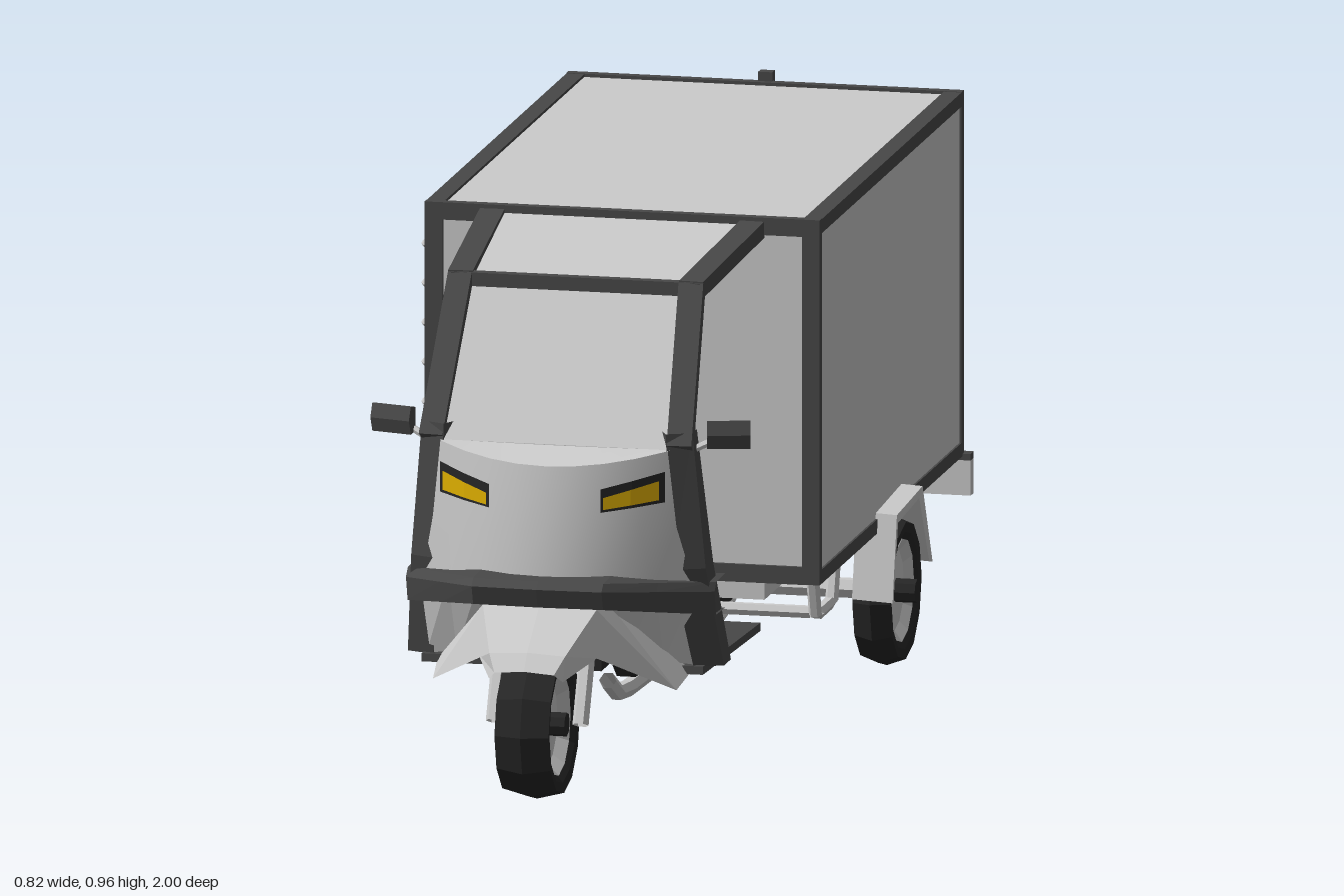
import * as THREE from 'three';

const mat = (color) => new THREE.MeshStandardMaterial({ color, flatShading: true, side: THREE.DoubleSide });
const V = (p) => new THREE.Vector3(...p);

export function createModel() {
  const root = new THREE.Group();
  const grey = mat(0xcccccc), dark = mat(0x484848), black = mat(0x262626), yellow = mat(0xe0b000), red = mat(0x701018);
  const smooth = new THREE.MeshStandardMaterial({ color: 0xcccccc, side: THREE.DoubleSide });

  const add = (name, geo, m, pos = [0, 0, 0], parent = root) => {
    const mesh = new THREE.Mesh(geo, m);
    mesh.name = name;
    mesh.position.set(...pos);
    parent.add(mesh);
    return mesh;
  };
  const box = (name, size, pos, m = grey) => add(name, new THREE.BoxGeometry(...size), m, pos);
  // Square bar between two points
  const beam = (name, a, b, w, h, m = dark) => {
    const A = V(a), B = V(b);
    const mesh = add(name, new THREE.BoxGeometry(w, h, A.distanceTo(B)), m);
    mesh.position.copy(A).add(B).multiplyScalar(0.5);
    mesh.lookAt(B);
    return mesh;
  };
  // Bent pipe through points
  const pipe = (name, pts, r, m = grey) => {
    const path = new THREE.CurvePath();
    for (let i = 1; i < pts.length; i++) path.add(new THREE.LineCurve3(V(pts[i - 1]), V(pts[i])));
    return add(name, new THREE.TubeGeometry(path, (pts.length - 1) * 4, r, 6), m);
  };
  // Surface through rows of points
  const sheet = (name, rows, m = grey) => {
    const n = rows[0].length, idx = [];
    for (let i = 0; i < rows.length - 1; i++)
      for (let j = 0; j < n - 1; j++) {
        const a = i * n + j, b = a + n;
        idx.push(a, b, a + 1, b, b + 1, a + 1);
      }
    const g = new THREE.BufferGeometry();
    g.setAttribute('position', new THREE.Float32BufferAttribute(rows.flat(2), 3));
    g.setIndex(idx);
    g.computeVertexNormals();
    return add(name, g, m);
  };
  // Side outline given as [z, y], extruded across x around centre x
  const slab = (name, pts, width, x, m = grey) => {
    const g = new THREE.ExtrudeGeometry(new THREE.Shape(pts.map(([z, y]) => new THREE.Vector2(-z, y))), { depth: width, bevelEnabled: false });
    g.translate(0, 0, -width / 2).rotateY(Math.PI / 2);
    return add(name, g, m, [x, 0, 0]);
  };

  // Cargo box: panels inside a dark edge frame
  const X = 0.365, y0 = 0.267, y1 = 0.938, zf = 0.18, zb = -0.97;
  const ym = (y0 + y1) / 2, zm = (zf + zb) / 2, L = zf - zb, H = y1 - y0;
  box('cargoBody', [2 * X - 0.008, H - 0.01, L - 0.012], [0, ym, zm]);
  box('cargoFloor', [2 * X - 0.03, 0.012, L - 0.03], [0, y0 + 0.002, zm], dark);
  for (const s of [-1, 1]) {
    for (const z of [zf - 0.008, zb + 0.008])
      box('cargoPost', [0.033, H, 0.018], [s * (X - 0.0165), ym, z], dark);
    for (const y of [y0 + 0.013, y1 - 0.013])
      box('cargoSideRail', [0.033, 0.026, L], [s * (X - 0.0165), y, zm], dark);
  }
  for (const z of [zf - 0.008, zb + 0.008])
    for (const y of [y0 + 0.016, y1 - 0.015])
      box('cargoCrossRail', [2 * X, 0.032, 0.018], [0, y, z], dark);

  // Rear doors, bumper and plate
  box('doorPost', [0.026, 0.7, 0.02], [0, 0.606, -0.973], dark);
  for (const s of [-1, 1])
    pipe('doorHandle', [[s * 0.045, 0.6, -0.97], [s * 0.045, 0.605, -0.99], [s * 0.045, 0.685, -0.99], [s * 0.045, 0.69, -0.97]], 0.007);
  box('rearBumper', [0.76, 0.07, 0.022], [0, 0.23, -0.972]);
  box('rearBumperCap', [0.76, 0.012, 0.026], [0, 0.266, -0.972], dark);
  box('plateFrame', [0.18, 0.07, 0.012], [0, 0.178, -0.99], black);
  box('plate', [0.16, 0.05, 0.006], [0, 0.178, -0.997]);

  // Ladder rungs on the right side
  for (let i = 0; i < 8; i++) {
    const y = 0.34 + i * 0.0727;
    pipe('ladderRung', [[-X, y, 0.13], [-0.38, y, 0.13], [-0.38, y, 0.01], [-X, y, 0.01]], 0.005);
  }

  // Cab roof, windscreen and cowl
  sheet('cabRoof', [
    [[-0.25, 0.925, 0.18], [0.25, 0.925, 0.18]],
    [[-0.21, 0.885, 0.545], [0.21, 0.885, 0.545]]]);
  sheet('windscreen', [
    [[-0.21, 0.88, 0.548], [0.21, 0.88, 0.548]],
    [[-0.215, 0.62, 0.715], [0.215, 0.62, 0.715]]]);
  const arc = (y, hw, zc, zs, drop = 0) => Array.from({ length: 9 }, (_, i) => {
    const t = i / 4 - 1;
    return [t * hw, y + drop * t * t, zc - (zc - zs) * t * t];
  });
  sheet('cowl', [arc(0.62, 0.215, 0.72, 0.712), arc(0.598, 0.21, 0.8, 0.725, 0.022)], smooth);
  sheet('frontApron', [arc(0.598, 0.21, 0.8, 0.725, 0.022), arc(0.48, 0.225, 0.815, 0.72), arc(0.37, 0.25, 0.82, 0.69)], smooth);
  sheet('lowerApron', [arc(0.37, 0.255, 0.815, 0.69), arc(0.24, 0.255, 0.72, 0.64, -0.03)]);
  // Bumper band: outward bulge closed above and below
  const bandX = [-0.285, -0.2, -0.12, 0, 0.12, 0.2, 0.285];
  const band = (yMid, ySide, grow) => bandX.map((x) => {
    const t = Math.max(0, (Math.abs(x) - 0.12) / 0.165);
    return [x, yMid + (ySide - yMid) * t, 0.845 + grow - 0.19 * t - 0.3 * Math.min(x * x, 0.0144)];
  });
  sheet('bumperBand', [band(0.4, 0.372, -0.06), band(0.398, 0.37, 0.01), band(0.385, 0.355, 0.025), band(0.35, 0.31, 0.012), band(0.348, 0.308, -0.06)], dark);

  for (const s of [-1, 1]) {
    // Cab frame
    beam('roofBeam', [s * 0.24, 0.917, 0.18], [s * 0.213, 0.882, 0.55], 0.045, 0.03);
    beam('windscreenPillar', [s * 0.212, 0.885, 0.54], [s * 0.228, 0.62, 0.705], 0.045, 0.035);
    sheet('pillarLeg', [
      [[0.19, 0.65, 0.69], [0.205, 0.65, 0.72], [0.25, 0.65, 0.7], [0.25, 0.65, 0.665]],
      [[0.21, 0.4, 0.66], [0.215, 0.4, 0.715], [0.272, 0.4, 0.69], [0.272, 0.4, 0.63]],
      [[0.235, 0.21, 0.58], [0.24, 0.21, 0.65], [0.292, 0.21, 0.63], [0.292, 0.21, 0.575]]
    ].map((r) => [...r, r[0]].map(([x, y, z]) => [s * x, y, z])), dark);

    // Headlamp with dark surround, following the apron
    const lamp = (name, xa, xb, ya, yb, out, m) => sheet(name, [0, 1].map((k) => [0, 0.5, 1].map((t) => {
      const x = xa + (xb - xa) * t, u = x / 0.215;
      const lo = ya + 0.012 * t, hi = yb + 0.025 * t;
      return [s * x, k ? hi : lo, 0.81 - 0.085 * u * u + out];
    })), m);
    lamp('headlampSurround', 0.103, 0.208, 0.517, 0.56, 0.008, black);
    lamp('headlamp', 0.108, 0.2, 0.523, 0.545, 0.014, yellow);

    // Mirror on its arm
    pipe('mirrorArm', [[s * 0.235, 0.61, 0.68], [s * 0.3, 0.64, 0.66]], 0.007);
    const mirror = slab('mirror', [[-0.012, -0.022], [0.006, -0.026], [0.014, 0], [0.006, 0.026], [-0.012, 0.022]], 0.078, s * 0.31, dark);
    mirror.position.y = 0.645;
    mirror.position.z = 0.67;
    mirror.rotation.y = s * 0.25;
  }
  beam('windscreenHeader', [-0.23, 0.882, 0.545], [0.23, 0.882, 0.545], 0.02, 0.025);

  // Front mudguard with flared wings
  const guard = (z, y, hw, wx, wy, wz) => [[-wx, wy, wz], [-hw, y, z], [0, y + 0.004, z], [hw, y, z], [wx, wy, wz]];
  sheet('frontMudguard', [
    guard(0.965, 0.25, 0.055, 0.068, 0.235, 0.95),
    guard(0.94, 0.28, 0.07, 0.11, 0.262, 0.86),
    guard(0.84, 0.347, 0.105, 0.225, 0.18, 0.72),
    guard(0.76, 0.347, 0.105, 0.235, 0.2, 0.64)]);

  // Wheels: pointed tread, recessed rim and hub
  const wheel = (name, x, z, hw) => {
    const g = new THREE.Group();
    g.name = name;
    const P = (r, h) => new THREE.Vector2(r, h);
    const tyre = [P(0.092, -hw * 0.7), P(0.108, -hw * 0.95), P(0.126, -hw), P(0.139, 0), P(0.126, hw), P(0.108, hw * 0.95), P(0.092, hw * 0.7), P(0.092, -hw * 0.7)];
    add('tyre', new THREE.LatheGeometry(tyre, 12), black, [0, 0, 0], g);
    const rim = [P(0, -hw * 0.5), P(0.075, -hw * 0.4), P(0.095, -hw * 0.8), P(0.095, hw * 0.8), P(0.075, hw * 0.4), P(0, hw * 0.5)];
    add('rim', new THREE.LatheGeometry(rim, 12), grey, [0, 0, 0], g);
    add('hub', new THREE.CylinderGeometry(0.022, 0.022, hw * 2.2, 8), black, [0, 0, 0], g);
    g.rotation.z = Math.PI / 2;
    g.position.set(x, 0.138, z);
    root.add(g);
  };
  wheel('frontWheel', 0, 0.86, 0.05);
  pipe('rearAxle', [[-0.39, 0.138, -0.4], [0.39, 0.138, -0.4]], 0.019);
  box('differential', [0.09, 0.08, 0.09], [0, 0.145, -0.4], dark);
  for (const s of [-1, 1]) {
    wheel('rearWheel', s * 0.355, -0.4, 0.035);
    const cap = add('axleCap', new THREE.CylinderGeometry(0.022, 0.022, 0.022, 8), black, [s * 0.4, 0.138, -0.4]);
    cap.rotation.z = Math.PI / 2;
    // Angular rear mudguard with an inner wall
    const arch = [[-0.25, 0.15], [-0.285, 0.305], [-0.49, 0.316], [-0.57, 0.16]];
    sheet('rearMudguard', arch.map(([z, y]) => [[s * 0.325, y, z], [s * 0.4, y - 0.004, z]]));
    sheet('rearMudguardLip', arch.map(([z, y], i) => [[s * 0.4, y - 0.004, z], [s * 0.398, y - (i % 3 ? 0.022 : 0), z + (i < 2 ? -0.018 : 0.018)]]));
    beam('leafSpring', [s * 0.25, 0.2, -0.22], [s * 0.25, 0.2, -0.6], 0.035, 0.02);
    box('springHanger', [0.04, 0.08, 0.04], [s * 0.25, 0.235, -0.6], dark);
    box('springHanger', [0.04, 0.08, 0.04], [s * 0.25, 0.235, -0.22], dark);
    // Side step loop under the box
    pipe('stepLoop', [[s * 0.35, 0.27, 0.17], [s * 0.35, 0.205, 0.15], [s * 0.35, 0.205, 0.02], [s * 0.35, 0.27, 0]], 0.012);

    // Fork, chassis rails and long lower pipes
    pipe('frontFork', [[s * 0.08, 0.138, 0.86], [s * 0.08, 0.27, 0.8], [s * 0.07, 0.56, 0.69]], 0.015);
    slab('chassisRail', [[0.67, 0.24], [0.58, 0.17], [-0.3, 0.15], [-0.42, 0.17], [-0.3, 0.2], [0.5, 0.2]], 0.035, s * 0.1, black);
    pipe('lowerPipe', [[s * 0.075, 0.17, 0.62], [s * 0.075, 0.125, 0.53], [s * 0.075, 0.1, -0.25], [s * 0.075, 0.13, -0.38]], 0.016);
    pipe('handlebar', [[s * 0.03, 0.56, 0.69], [s * 0.12, 0.585, 0.66], [s * 0.2, 0.565, 0.62]], 0.01, black);

    // Rider side panels, footboard and springs
    slab('sidePanel', [[0.43, 0.38], [0.36, 0.42], [0.18, 0.42], [0.18, 0.26], [0.3, 0.27], [0.42, 0.31]], 0.02, s * 0.1);
    slab('lowerFairing', [[0.48, 0.21], [0.36, 0.28], [0.26, 0.26], [0.14, 0.28], [0.08, 0.235], [0.18, 0.2], [0.4, 0.185]], 0.03, s * 0.13, dark);
    box('shockAbsorber', [0.03, 0.1, 0.04], [s * 0.07, 0.37, 0.43], red).rotation.x = 0.2;
    const cover = add('engineCover', new THREE.SphereGeometry(1, 10, 6), grey, [s * 0.08, 0.295, 0.52]);
    cover.scale.set(0.035, 0.04, 0.085);
    beam('footboard', [s * 0.19, 0.205, 0.66], [s * 0.19, 0.19, 0.2], 0.14, 0.015);
  }
  pipe('crossTube', [[-0.33, 0.2, 0.1], [0.33, 0.2, 0.1]], 0.012);
  box('axleStrut', [0.05, 0.03, 0.85], [0, 0.165, 0.03], black);
  box('underfloorCase', [0.24, 0.075, 0.2], [0, 0.235, -0.62]);
  box('underfloorBox', [0.44, 0.08, 0.25], [0, 0.235, -0.13]);

  // Tank, seat and engine
  add('fuelTank', new THREE.SphereGeometry(1, 16, 10), smooth, [0, 0.485, 0.54]).scale.set(0.085, 0.06, 0.115);
  slab('seat', [[0.46, 0.44], [0.42, 0.478], [0.28, 0.468], [0.19, 0.49], [0.18, 0.43], [0.3, 0.425]], 0.18, 0, dark);
  slab('seatBase', [[0.43, 0.43], [0.18, 0.44], [0.18, 0.28], [0.4, 0.3]], 0.17, 0);
  box('engine', [0.13, 0.11, 0.16], [0, 0.285, 0.5], dark);
  box('cylinderBlock', [0.1, 0.1, 0.07], [0, 0.375, 0.57], red);
  beam('topTube', [0, 0.5, 0.68], [0, 0.42, 0.3], 0.04, 0.04);
  beam('downTube', [0, 0.5, 0.69], [0, 0.2, 0.6], 0.04, 0.04);
  box('instrumentPod', [0.1, 0.05, 0.06], [0, 0.58, 0.7], black);

  return root;
}
